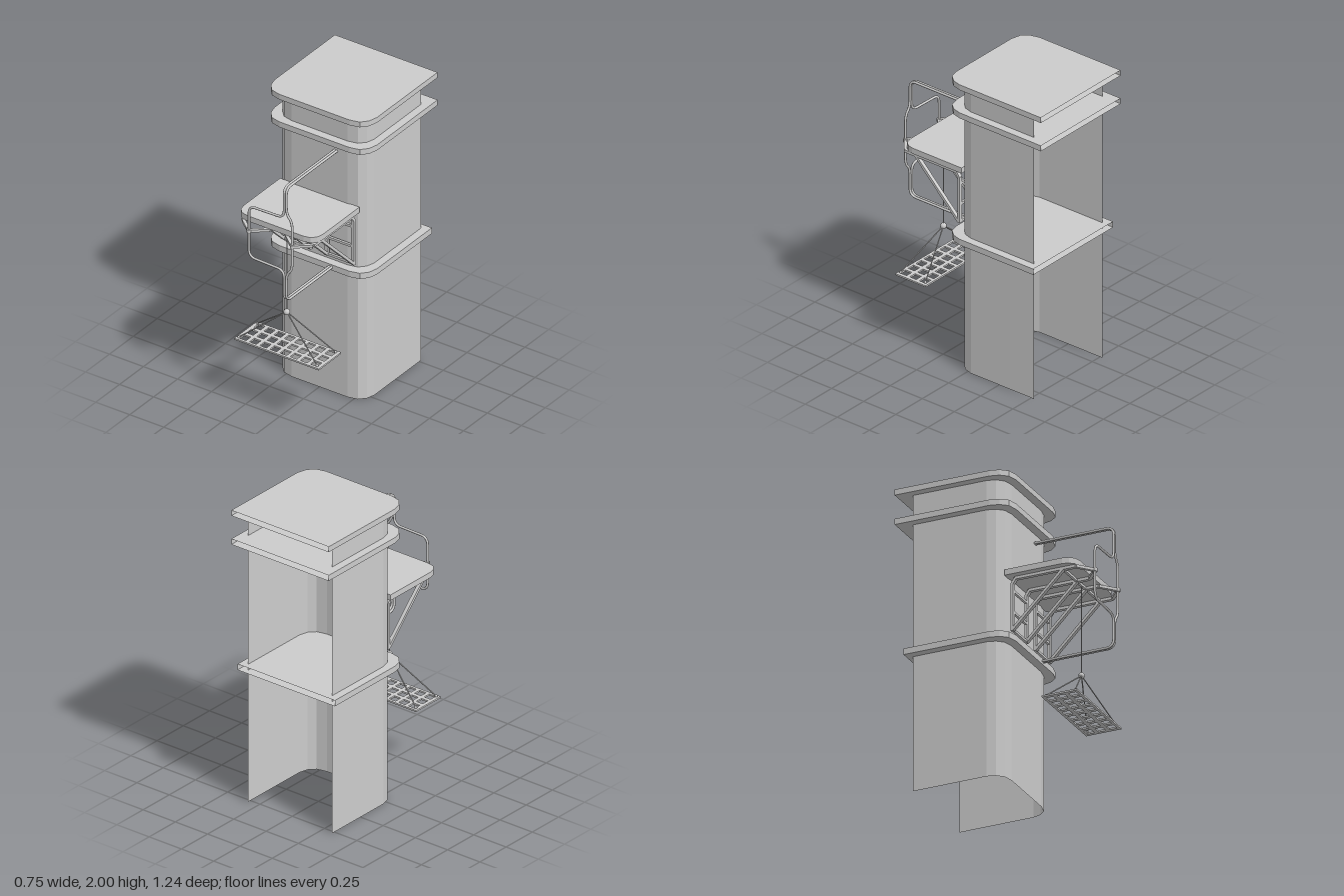
import * as THREE from 'three';

const mat = new THREE.MeshStandardMaterial({ color: 0xcccccc, side: THREE.DoubleSide });
const flat = new THREE.MeshStandardMaterial({ color: 0xcccccc, side: THREE.DoubleSide, flatShading: true });
const V = (x, y, z) => new THREE.Vector3(x, y, z);

function add(parent, name, geo, m = flat) {
  const mesh = new THREE.Mesh(geo, m);
  mesh.name = name;
  parent.add(mesh);
  return mesh;
}

function group(parent, name) {
  const g = new THREE.Group();
  g.name = name;
  parent.add(g);
  return g;
}

// U-shaped plan with chamfered front corners, from the left back to the right back
function plan(w, front, back, rx, rz) {
  const half = [[0, 1], [0.13, 0.5], [0.45, 0.13], [1, 0]].map(([a, b]) => [w - rx * a, front - rz * b]);
  const right = [[w, back], ...half];
  const left = right.map(([x, z]) => [-x, z]);
  return [...left, ...right.reverse()].map(([x, z]) => new THREE.Vector2(x, z));
}

// Upright wall that follows an open plan
function wall(pts, y0, y1) {
  const g = new THREE.PlaneGeometry(1, 1, pts.length - 1, 1);
  const p = g.attributes.position;
  for (let i = 0; i < p.count; i++) {
    const q = pts[i % pts.length];
    p.setXYZ(i, q.x, i < pts.length ? y1 : y0, q.y);
  }
  g.computeVertexNormals();
  return g;
}

// Hollow ledge, open at the back
function ledge(parent, name, y0, y1, back) {
  const g = group(parent, name);
  const pts = plan(0.377, 0.136, back, 0.12, 0.12);
  add(g, 'ledgeRim', wall(pts, y0, y1));
  for (const y of [y0, y1]) {
    add(g, 'ledgeFace', new THREE.ShapeGeometry(new THREE.Shape(pts)).rotateX(Math.PI / 2)).position.y = y;
  }
}

// Square bar between two points
function bar(parent, name, a, b, w, h = w) {
  const m = add(parent, name, new THREE.BoxGeometry(w, h, a.distanceTo(b)));
  m.position.copy(a).lerp(b, 0.5);
  m.lookAt(b);
}

// Round rod between two points
function rod(parent, name, a, b, r) {
  add(parent, name, new THREE.TubeGeometry(new THREE.LineCurve3(a, b), 1, r, 6), mat);
}

// Polyline with rounded corners
function bentPath(pts, r) {
  const path = new THREE.CurvePath();
  let last = pts[0];
  for (let i = 1; i < pts.length - 1; i++) {
    const p = pts[i];
    const cut = q => p.clone().add(q.clone().sub(p).setLength(Math.min(r, p.distanceTo(q) * 0.45)));
    const a = cut(pts[i - 1]), b = cut(pts[i + 1]);
    path.add(new THREE.LineCurve3(last, a));
    path.add(new THREE.QuadraticBezierCurve3(a, p, b));
    last = b;
  }
  path.add(new THREE.LineCurve3(last, pts[pts.length - 1]));
  return path;
}

export function createModel() {
  const model = new THREE.Group();
  model.name = 'towerWithHoist';

  // Tower shell and ledges
  add(model, 'towerWall', wall(plan(0.325, 0.082, -0.52, 0.12, 0.11), 0, 1.965));
  ledge(model, 'roof', 1.963, 2, -0.617);
  ledge(model, 'upperLedge', 1.768, 1.806, -0.617);
  ledge(model, 'lowerLedge', 0.893, 0.933, -0.558);

  // Balcony slab
  const slab = new THREE.ExtrudeGeometry(new THREE.Shape(plan(0.291, 0.541, 0.075, 0.085, 0.08)),
    { depth: 0.038, bevelEnabled: false }).rotateX(Math.PI / 2);
  add(model, 'balcony', slab).position.set(-0.003, 1.365, 0);

  // Two support brackets, each with a pair of legs meeting at a guide rail
  const railZ = 0.61;
  for (const [x0, x1, railX] of [[-0.245, -0.052, -0.148], [0.073, 0.266, 0.17]]) {
    const g = group(model, 'bracket');
    for (const x of [x0, x1]) {
      const knee = V(x, 1.315, 0.53);
      bar(g, 'bracketUpright', V(x, 0.97, 0.107), V(x, 1.285, 0.107), 0.024, 0.018);
      bar(g, 'bracketBend', V(x, 1.28, 0.107), V(x, 1.315, 0.13), 0.024, 0.018);
      bar(g, 'bracketArm', V(x, 1.315, 0.125), knee, 0.024, 0.018);
      bar(g, 'bracketTip', knee, V(railX, 1.315, railZ), 0.02, 0.018);
      bar(g, 'bracketStrut', V(x, 0.975, 0.107), V(x, 1.312, 0.445), 0.024, 0.018);
    }
    // Rungs between the legs
    for (const [y, z] of [[0.98, 0.107], [1.098, 0.107], [1.238, 0.107], [1.315, 0.445]]) {
      bar(g, 'bracketRung', V(x0, y, z), V(x1, y, z), 0.016);
    }
    add(g, 'railClamp', new THREE.CylinderGeometry(0.015, 0.015, 0.022, 10), mat).position.set(railX, 1.315, railZ);
  }

  // Pair of bent guide rails
  const rail = (x, side, yTop, yLow) => bentPath([
    V(x, 1.708, 0.075), V(x, 1.708, railZ), V(x, yTop[0], railZ), V(side, yTop[1], railZ),
    V(side, yLow[1], railZ), V(x, yLow[0], railZ), V(x, 0.915, railZ), V(x, 0.915, 0.125)], 0.05);
  for (const path of [
    rail(0.11, -0.148, [1.495, 1.49], [1.125, 1.133]),
    rail(0.127, 0.17, [1.53, 1.48], [1.1, 1.15])]) {
    add(model, 'guideRail', new THREE.TubeGeometry(path, 160, 0.008, 8), mat);
  }

  // Hoist rope, ball and slings
  const hoist = group(model, 'hoist');
  const ball = V(0.013, 0.715, 0.443);
  rod(hoist, 'rope', ball, V(0.013, 1.32, 0.443), 0.003);
  bar(hoist, 'ropeBeam', V(-0.052, 1.315, 0.443), V(0.073, 1.315, 0.443), 0.016);
  add(hoist, 'ropeBall', new THREE.SphereGeometry(0.02, 14, 10), mat).position.copy(ball);
  for (const x of [-0.272, 0.302]) {
    for (const z of [0.345, 0.538]) {
      rod(hoist, 'sling', ball, V(x, 0.485, z), 0.004);
      add(hoist, 'slingEye', new THREE.SphereGeometry(0.009, 8, 6), mat).position.set(x, 0.485, z);
    }
  }

  // Perforated hanging platform
  const deck = new THREE.Shape([[-0.291, 0.323], [0.328, 0.323], [0.328, 0.558], [-0.291, 0.558]]
    .map(p => new THREE.Vector2(...p)));
  for (let i = 0; i < 8; i++) {
    for (let j = 0; j < 3; j++) {
      const x = 0.0185 + (i - 3.5) * 0.0745, z = 0.4405 + (j - 1) * 0.075, s = 0.025;
      deck.holes.push(new THREE.Path([[-s, -s], [-s, s], [s, s], [s, -s]]
        .map(([a, b]) => new THREE.Vector2(x + a, z + b))));
    }
  }
  const deckGeo = new THREE.ExtrudeGeometry(deck, { depth: 0.011, bevelEnabled: false }).rotateX(Math.PI / 2);
  add(hoist, 'platform', deckGeo).position.y = 0.48;

  return model;
}
